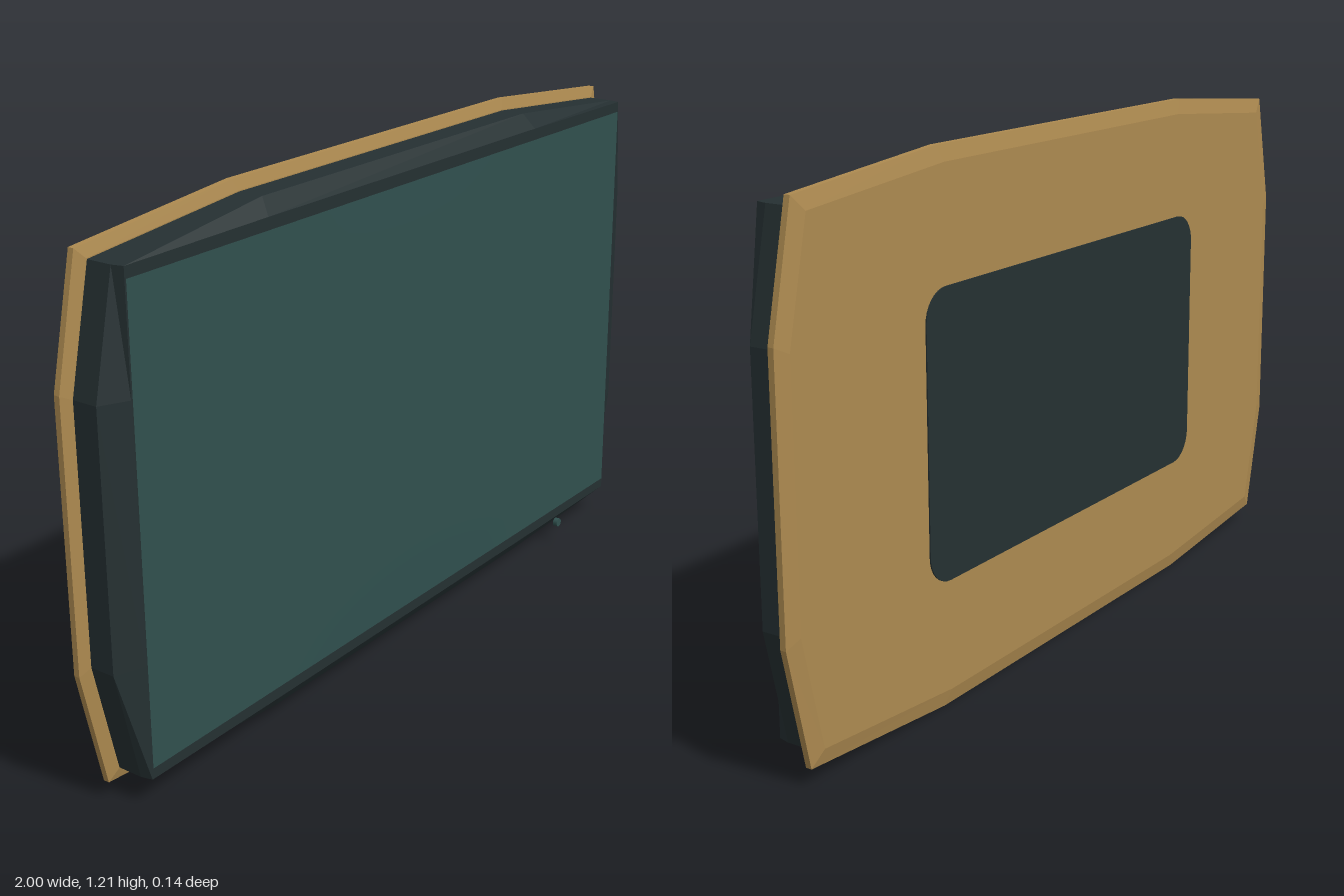
import * as THREE from 'three';

const CY = 0.605; // height of the panel centre

// Twelve-point ring, counter-clockwise from the front, given its corner, top-run and side-run points
function ring(topX, topY, cornerX, cornerY, sideX, sideY, z) {
  const q = [[sideX, sideY], [cornerX, cornerY], [topX, topY]];
  const r = [...q].reverse();
  return [
    ...q,
    ...r.map(([x, y]) => [-x, y]),
    ...q.map(([x, y]) => [-x, -y]),
    ...r.map(([x, y]) => [x, -y]),
  ].map(([x, y]) => new THREE.Vector3(x, y, z));
}

// The frame outline, inset by an even margin
const outline = (inset, z) => {
  const sx = 1 - inset, sy = 1 - inset / CY;
  return ring(0.5 * sx, CY * sy, 0.94 * sx, 0.565 * sy, sx, 0.295 * sy, z);
};

// Closed solid through rings ordered from back to front
function loft(rings) {
  const pos = [];
  const tri = (...p) => p.forEach((v) => pos.push(v.x, v.y, v.z));
  const n = rings[0].length, first = rings[0], last = rings[rings.length - 1];
  const back = new THREE.Vector3(0, 0, first[0].z), front = new THREE.Vector3(0, 0, last[0].z);
  for (let i = 0; i < n; i++) {
    const j = (i + 1) % n;
    for (let k = 0; k < rings.length - 1; k++) {
      const a = rings[k], b = rings[k + 1];
      tri(a[i], a[j], b[j]);
      tri(a[i], b[j], b[i]);
    }
    tri(back, first[j], first[i]);
    tri(front, last[i], last[j]);
  }
  const g = new THREE.BufferGeometry();
  g.setAttribute('position', new THREE.Float32BufferAttribute(pos, 3));
  g.computeVertexNormals();
  return g;
}

function roundedRect(w, h, r) {
  const s = new THREE.Shape();
  s.absarc(w - r, h - r, r, 0, Math.PI / 2);
  s.absarc(-w + r, h - r, r, Math.PI / 2, Math.PI);
  s.absarc(-w + r, -h + r, r, Math.PI, Math.PI * 1.5);
  s.absarc(w - r, -h + r, r, Math.PI * 1.5, Math.PI * 2);
  return s;
}

export function createModel() {
  const material = (name, color) => {
    const m = new THREE.MeshStandardMaterial({ color });
    m.name = name;
    return m;
  };
  const gold = material('gold', 0xad8a50);
  const dark = material('dark casing', 0x253032);
  const glass = material('teal glass', 0x30504e);

  const group = new THREE.Group();
  group.name = 'displayPanel';
  const add = (name, geometry, mat, x = 0, y = CY, z = 0) => {
    const mesh = new THREE.Mesh(geometry, mat);
    mesh.name = name;
    mesh.position.set(x, y, z);
    group.add(mesh);
    return mesh;
  };

  // Gold back plate with bevelled rim
  add('backFrame', loft([
    outline(0.035, -0.065), outline(0, -0.057), outline(0, -0.043), outline(0.025, -0.036),
  ]), gold);

  // Dark casing, its front bevelled to a rectangle
  add('casing', loft([
    outline(0.027, -0.04), outline(0.027, 0.024),
    ring(0.5, 0.542, 0.908, 0.54, 0.908, 0.28, 0.05),
  ]), dark);

  // Very slightly domed screen
  const screen = new THREE.PlaneGeometry(1.81, 1.03, 24, 16);
  const p = screen.attributes.position;
  for (let i = 0; i < p.count; i++) {
    const u = p.getX(i) / 0.905, v = p.getY(i) / 0.515;
    p.setZ(i, 0.0512 + 0.004 * (1 - u * u) * (1 - v * v));
  }
  screen.computeVertexNormals();
  add('screen', screen, glass);

  // Inset panel on the back
  const panel = new THREE.ExtrudeGeometry(roundedRect(0.555, 0.318, 0.07), {
    depth: 0.006, bevelEnabled: false, curveSegments: 4,
  });
  add('rearPanel', panel, dark, 0, CY, -0.068);

  // Small indicator button at the lower front edge
  const button = new THREE.CylinderGeometry(0.011, 0.011, 0.012, 12);
  button.rotateX(Math.PI / 2);
  add('indicatorButton', button, glass, 0.65, 0.055, 0.062);

  return group;
}
